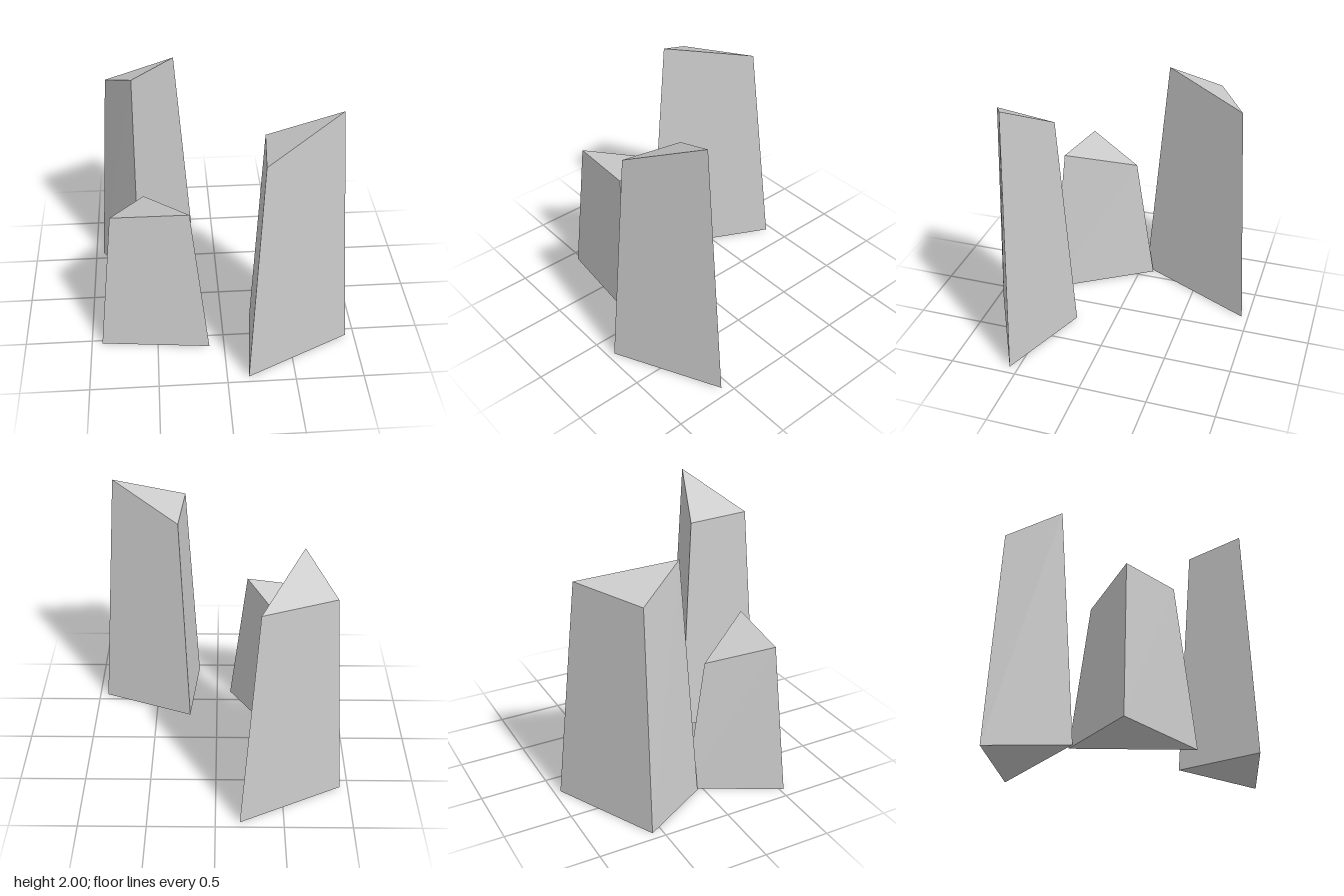
import * as THREE from 'three';

// Tapered three-sided pillar; base and top corners run counter-clockwise seen from above
function pillar(name, base, top) {
  const n = base.length;
  const positions = [];
  const tri = (a, b, c) => positions.push(...a, ...b, ...c);
  const foot = base.map(([x, z]) => [x, 0, z]);

  // sloping sides
  for (let i = 0; i < n; i++) {
    const j = (i + 1) % n;
    tri(foot[i], foot[j], top[j]);
    tri(foot[i], top[j], top[i]);
  }
  // slanted top and flat underside
  tri(top[0], top[1], top[2]);
  tri(foot[0], foot[2], foot[1]);

  const geometry = new THREE.BufferGeometry();
  geometry.setAttribute('position', new THREE.Float32BufferAttribute(positions, 3));
  geometry.computeVertexNormals();
  const material = new THREE.MeshStandardMaterial({ color: 0xcccccc, flatShading: true });
  const mesh = new THREE.Mesh(geometry, material);
  mesh.name = name;
  return mesh;
}

export function createModel() {
  const group = new THREE.Group();
  group.name = 'pillars';
  group.add(
    pillar('backPillar',
      [[-0.94, -0.573], [-0.633, -0.042], [-0.178, -0.952]],
      [[-0.82, 1.67, -0.567], [-0.613, 1.857, -0.2], [-0.297, 1.705, -0.828]]),
    pillar('shortPillar',
      [[-0.922, 0.53], [-0.112, 0.615], [-0.58, -0.11]],
      [[-0.798, 1.14, 0.473], [-0.24, 1.18, 0.53], [-0.562, 1.007, 0.037]]),
    pillar('tallPillar',
      [[0.222, 0.292], [0.158, 0.95], [0.935, 0.566]],
      [[0.292, 1.727, 0.392], [0.25, 1.762, 0.845], [0.783, 2, 0.58]]),
  );
  return group;
}
